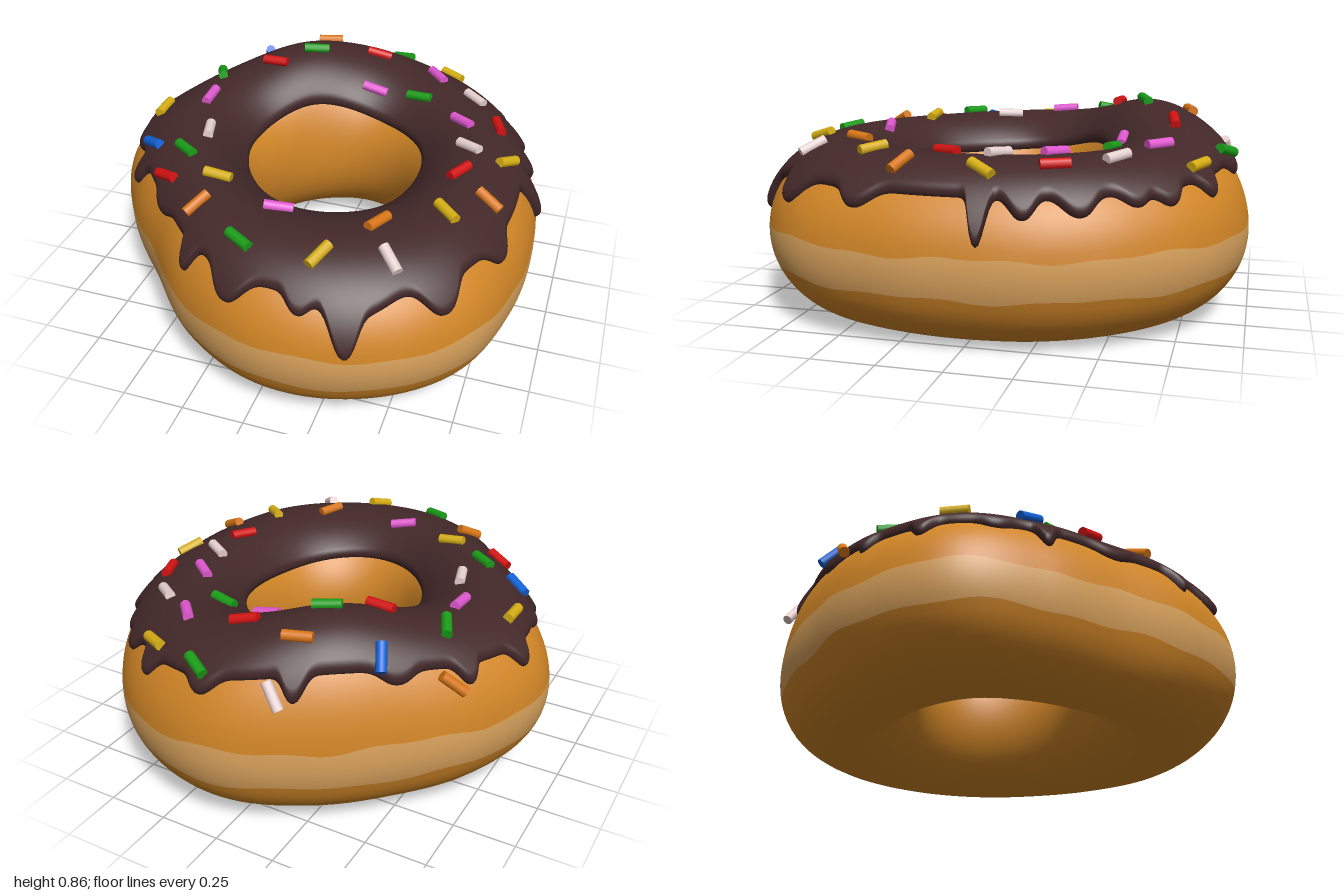
import * as THREE from 'three';

const TAU = Math.PI * 2, RAD = Math.PI / 180;
const CX = 0.05;          // centre of the hole along x
const ICING = 0.032;      // icing thickness

const material = (name, color) => {
  const m = new THREE.MeshStandardMaterial({ color });
  m.name = name;
  return m;
};

// Outer outline: radius every 22.5 degrees, from +x towards +z
const OUTER = [0.857, 0.905, 0.995, 1.014, 0.99, 0.91, 0.834, 0.878,
  0.965, 0.937, 0.9, 0.932, 0.993, 0.977, 0.917, 0.872];

// Icing drips: angle, depth and half width, all in degrees
const DRIPS = [[71, 26, 3.2], [69, 12, 9], [49, 19, 5], [81, 11, 3], [98, 18, 5], [113, 18, 2.6],
  [135, 8, 6], [157, 18, 2.6], [170, 6, 4], [188, 14, 3], [206, 12, 3], [225, 8, 5], [250, 14, 3],
  [272, 10, 4], [291, 13, 3], [305, 12, 4], [314, 10, 4], [329, 14, 5], [343, 15, 4], [354, 32, 2.6], [27, 13, 5]];

// Shortest difference between two angles in degrees
const turn = (a, b) => ((a - b) % 360 + 540) % 360 - 180;

// Smooth periodic interpolation of the outline
function outerRadius(u) {
  const n = OUTER.length, f = ((u / TAU) % 1 + 1) % 1 * n, i = Math.floor(f), t = f - i;
  const [a, b, c, d] = [-1, 0, 1, 2].map(k => OUTER[(i + k + n) % n]);
  return b + 0.5 * t * (c - a + t * (2 * a - 5 * b + 4 * c - d + t * (3 * (b - c) + d - a)));
}

// Cross-section of the ring at angle u
function section(u) {
  const ri = 0.3275 - 0.0225 * Math.cos(2 * u) - 0.0125 * Math.cos(u);
  const ro = outerRadius(u);
  const bump = 0.11 * Math.exp(-((turn(u / RAD, 242) / 33) ** 2));
  return { mid: (ri + ro) / 2, half: (ro - ri) / 2, top: 0.335 + bump, y: 0.345 - 0.012 * Math.cos(u) };
}

// Point on the ring: u goes round the hole, v round the section (0 outside, 90 degrees on top)
function ringPoint(u, v, off = 0) {
  const s = section(u), sv = Math.sin(v);
  const r = s.mid + (s.half + off) * Math.cos(v);
  const y = s.y + ((sv > 0 ? s.top : 0.333) + off) * sv;
  return new THREE.Vector3(CX + r * Math.cos(u), y, r * Math.sin(u));
}

// Unit normal of a surface function by finite differences
function normalOf(f, u, t, e = 1e-3) {
  const du = f(u + e, t).sub(f(u - e, t));
  const dt = f(u, t + e).sub(f(u, t - e));
  return dt.cross(du).normalize();
}

// Closed strip round the ring from a surface function f(u, t), t in 0..1
function strip(f, nu, nt) {
  const pos = [], nor = [], idx = [];
  for (let i = 0; i < nu; i++) {
    for (let j = 0; j <= nt; j++) {
      const u = i / nu * TAU, t = j / nt;
      pos.push(...f(u, t).toArray());
      nor.push(...normalOf(f, u, Math.min(0.99, Math.max(0.01, t))).toArray());
      if (j === nt) continue;
      const a = i * (nt + 1) + j, c = ((i + 1) % nu) * (nt + 1) + j;
      idx.push(a, a + 1, c, c, a + 1, c + 1);
    }
  }
  const g = new THREE.BufferGeometry();
  g.setAttribute('position', new THREE.Float32BufferAttribute(pos, 3));
  g.setAttribute('normal', new THREE.Float32BufferAttribute(nor, 3));
  g.setIndex(idx);
  return g;
}

// Slightly wavy borders of the pale band
const bandLow = u => RAD * (-20 + 1.2 * Math.sin(9 * u) + 0.8 * Math.sin(17 * u + 1));
const bandHigh = u => RAD * (7 + 1.2 * Math.sin(8 * u + 2) + 0.8 * Math.sin(19 * u));

// Borders of the icing
const icingOuter = u => RAD * (47 - DRIPS.reduce((sum, [a, depth, w]) =>
  sum + depth * Math.exp(-(Math.abs(turn(u / RAD, a) / w) ** 2.4)), 0));
const icingInner = u => RAD * (140 + 1.5 * Math.sin(3 * u));

function icingPoint(u, t) {
  const lo = icingOuter(u), hi = icingInner(u);
  const v = lo + (hi - lo) * (1 - Math.cos(Math.PI * t)) / 2;
  const d = Math.min(1, Math.max(0, Math.min(v - lo, hi - v) / (7 * RAD)));
  return ringPoint(u, v, -0.003 + (ICING + 0.003) * Math.sqrt(1 - (1 - d) ** 2));
}

// Sprinkles by colour: x, z and heading in degrees
const SPRINKLES = [
  ['white', 0xe8d2d2, [[-0.2, -0.88, 21], [0.53, -0.52, 37], [0.59, -0.09, 31], [0.47, 0.71, 45], [-0.47, 0.14, 73]]],
  ['green', 0x1a9c18, [[0.11, -0.89, 28], [-0.22, -0.53, -22], [0.29, -0.47, 11], [-0.07, 0.78, 29],
    [-0.49, 0.32, 35], [-0.6, -0.32, 65]]],
  ['yellow', 0xd6ae14, [[0.37, -0.8, 27], [0.75, -0.07, -59], [0.6, 0.4, 41], [0.23, 0.78, -66],
    [-0.29, 0.46, 0], [-0.75, -0.02, 90]]],
  ['orange', 0xd87616, [[-0.21, -0.72, -17], [-0.7, -0.47, -27], [0.73, 0.24, 24], [0.38, 0.55, -65], [-0.3, 0.63, -55]]],
  ['blue', 0x1062d8, [[-0.48, -0.61, 63], [-0.67, 0.25, 34]]],
  ['red', 0xd41212, [[0.04, -0.68, -11], [-0.37, -0.4, 3], [0.67, -0.32, 68], [0.59, 0.11, -61], [-0.51, 0.46, 28]]],
  ['pink', 0xe058d0, [[0.33, -0.65, 47], [0.08, -0.48, 0], [0.52, -0.29, 37], [0, 0.57, -17], [-0.57, -0.11, 90]]],
];

export function createModel() {
  const model = new THREE.Group();
  model.name = 'donut';
  const add = (name, geometry, mat, parent = model) => {
    const mesh = new THREE.Mesh(geometry, mat);
    mesh.name = name;
    parent.add(mesh);
    return mesh;
  };

  // Dough with its pale middle band
  const between = (lo, hi) => (u, t) => ringPoint(u, lo(u) + (hi(u) - lo(u)) * t);
  add('dough', strip(between(bandHigh, u => bandLow(u) + TAU), 180, 56), material('golden dough', 0xd08526));
  add('paleBand', strip(between(bandLow, bandHigh), 180, 6), material('pale dough', 0xd9a25c));

  // Dripping icing
  add('icing', strip(icingPoint, 480, 48), material('chocolate', 0x432829));

  // Sprinkles lying on the icing
  const sprinkles = new THREE.Group();
  sprinkles.name = 'sprinkles';
  model.add(sprinkles);
  const rod = new THREE.CylinderGeometry(0.021, 0.021, 0.112, 12);
  const surface = (u, v) => ringPoint(u, v, ICING);
  for (const [name, color, places] of SPRINKLES) {
    const mat = material(name + ' sprinkle', color);
    for (const [x, z, heading] of places) {
      const u = Math.atan2(z, x - CX), s = section(u);
      const v = Math.acos(THREE.MathUtils.clamp((Math.hypot(x - CX, z) - s.mid) / (s.half + ICING), -0.95, 0.95));
      const n = normalOf(surface, u, v);
      const dir = new THREE.Vector3(Math.cos(heading * RAD), 0, Math.sin(heading * RAD));
      dir.y = -(dir.x * n.x + dir.z * n.z) / n.y;
      const mesh = add(name + 'Sprinkle', rod, mat, sprinkles);
      mesh.quaternion.setFromUnitVectors(new THREE.Vector3(0, 1, 0), dir.normalize());
      mesh.position.copy(surface(u, v)).addScaledVector(n, 0.008);
    }
  }
  return model;
}
